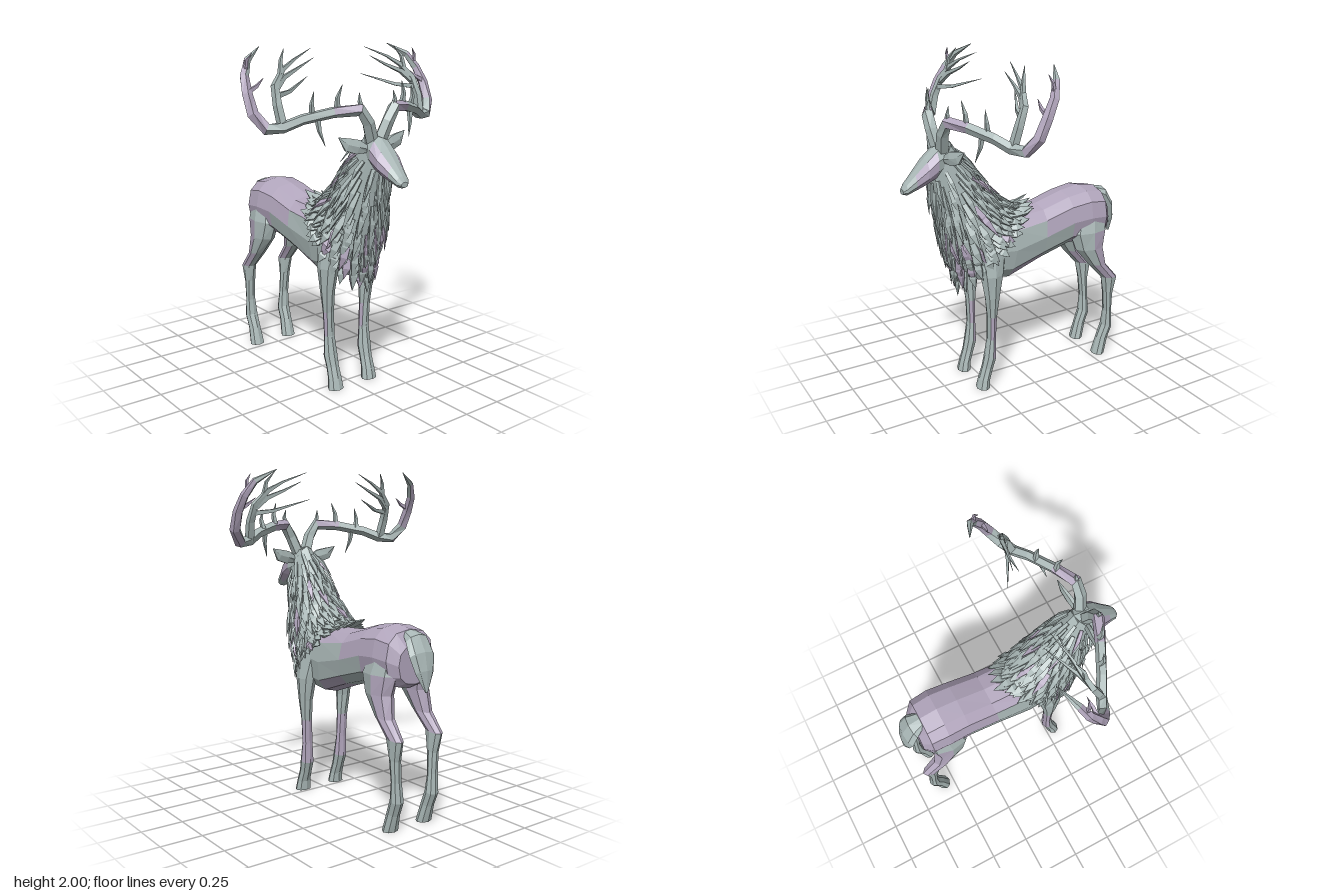
import * as THREE from 'three';

const V = (x, y, z) => new THREE.Vector3(x, y, z);
const SIDES = [1, -1];

// A part collects triangles for two colours: 0 = grey, 1 = mauve
const newPart = () => [[], []];
const grey = () => 0;

function tri(part, colour, a, b, c) {
  part[colour].push(a.x, a.y, a.z, b.x, b.y, b.z, c.x, c.y, c.z);
}

// Join rings of points into a closed skin; paint(centre) picks a colour
function skin(part, rings, paint) {
  const n = rings[0].length;
  const mid = (...p) => p.reduce((s, q) => s.add(q), V(0, 0, 0)).divideScalar(p.length);
  for (let i = 0; i < rings.length - 1; i++) {
    for (let j = 0; j < n; j++) {
      const k = (j + 1) % n;
      const a = rings[i][j], b = rings[i][k], c = rings[i + 1][k], d = rings[i + 1][j];
      const colour = paint(mid(a, b, c, d));
      tri(part, colour, a, b, c);
      tri(part, colour, a, c, d);
    }
  }
  const first = rings[0], last = rings[rings.length - 1];
  const c0 = mid(...first), c1 = mid(...last);
  for (let j = 0; j < n; j++) {
    const k = (j + 1) % n;
    tri(part, paint(c0), c0, first[k], first[j]);
    tri(part, paint(c1), c1, last[j], last[k]);
  }
}

// Point on a section given as [z1, y1, z2, y2, halfWidth, centreX]
function sectionPoint([z1, y1, z2, y2, w, x = 0], angle, side = 1, square = 1) {
  const bend = v => Math.sign(v) * Math.abs(v) ** square;
  const c = bend(Math.cos(angle)) / 2, s = bend(Math.sin(angle));
  return V(x * side + s * w, (y1 + y2) / 2 + c * (y1 - y2), (z1 + z2) / 2 + c * (z1 - z2));
}

// Loft through sections laid out in the side plane
function loft(part, sections, n, paint = grey, side = 1, square = 1) {
  const [a, b] = sections;
  const dz = b[0] + b[2] - a[0] - a[2], dy = b[1] + b[3] - a[1] - a[3];
  const flip = dy * (a[0] - a[2]) - dz * (a[1] - a[3]) < 0;
  const rings = sections.map(s => {
    const ring = [];
    for (let j = 0; j < n; j++) ring.push(sectionPoint(s, (j / n) * Math.PI * 2, side, square));
    return flip ? ring.reverse() : ring;
  });
  skin(part, rings, paint);
}

// Sweep an ellipse along points; radii are [across, alongRef] pairs
function sweep(part, pts, radii, n, ref, paint = grey) {
  const rings = pts.map((p, i) => {
    const t = pts[Math.min(i + 1, pts.length - 1)].clone().sub(pts[Math.max(i - 1, 0)]).normalize();
    const u = t.clone().cross(ref).normalize(), v = t.clone().cross(u);
    const [ru, rv] = radii[i];
    return Array.from({ length: n }, (_, j) => {
      const a = ((j + 0.5) / n) * Math.PI * 2;
      return p.clone().addScaledVector(u, Math.cos(a) * ru).addScaledVector(v, Math.sin(a) * rv);
    });
  });
  skin(part, rings, paint);
}

export function createModel() {
  const group = new THREE.Group();
  const materials = [0xaab8b7, 0xb2a6bd].map((color, i) => {
    const m = new THREE.MeshStandardMaterial({ color, flatShading: true });
    m.name = ['grey coat', 'mauve coat'][i];
    return m;
  });
  function add(part, name) {
    const g = new THREE.BufferGeometry();
    g.setAttribute('position', new THREE.Float32BufferAttribute(part[0].concat(part[1]), 3));
    g.addGroup(0, part[0].length / 3, 0);
    g.addGroup(part[0].length / 3, part[1].length / 3, 1);
    g.computeVertexNormals();
    const mesh = new THREE.Mesh(g, materials);
    mesh.name = name;
    group.add(mesh);
  }
  let seed = 7;
  const rand = () => (seed = (seed * 16807) % 2147483647) / 2147483647;

  // Torso, mauve over the back, rump and belly
  const body = newPart();
  loft(body, [
    [0.34, 0.98, 0.41, 0.75, 0.1], [0.2, 1.08, 0.3, 0.68, 0.155], [0.05, 1.07, 0.1, 0.66, 0.165],
    [-0.15, 1.08, -0.12, 0.74, 0.165], [-0.33, 1.13, -0.33, 0.8, 0.17], [-0.46, 1.15, -0.46, 0.8, 0.178],
    [-0.57, 1.13, -0.57, 0.8, 0.17], [-0.62, 1.05, -0.62, 0.83, 0.12],
  ], 12, c => (c.z < 0.15 && c.y > 0.97) || c.z < -0.38 || (c.y < 0.76 && c.z < 0.1) ? 1 : 0, 1, 0.8);
  add(body, 'body');

  // Neck
  const neckSections = [
    [0.42, 1.54, 0.56, 1.36, 0.07], [0.31, 1.38, 0.52, 1.2, 0.1], [0.21, 1.22, 0.48, 1.02, 0.135],
    [0.09, 1.1, 0.44, 0.85, 0.165], [0, 1.07, 0.38, 0.72, 0.165], [-0.08, 1.1, 0.37, 0.62, 0.17],
  ];
  const neck = newPart();
  loft(neck, neckSections.slice(0, 5), 10);
  add(neck, 'neck');

  // Shaggy mane: flat spikes that follow the neck downwards
  const neckPoint = (t, a) => {
    const i = Math.min(Math.floor(t), 4), f = t - i;
    return sectionPoint(neckSections[i].map((v, k) => v + (neckSections[i + 1][k] - v) * f), a);
  };
  const mane = newPart();
  for (let row = 0; row < 13; row++) {
    const count = 11 + row;
    for (let j = 0; j < count; j++) {
      const a = ((j + (row % 2) / 2 + (rand() - 0.5) * 0.4) / count) * Math.PI * 2;
      const t = 0.15 + row * 0.3 + rand() * 0.2, end = Math.min(t + 0.75 + rand() * 0.45, 5);
      const base = neckPoint(t, a), out = base.clone().sub(neckPoint(t, a + Math.PI)).normalize();
      const tip = neckPoint(end, a).addScaledVector(out, 0.02 + rand() * 0.035);
      const mid = base.clone().lerp(tip, 0.4).addScaledVector(out, 0.012);
      const w = 0.016 + 0.003 * row ** 0.7;
      const chest = base.z > 0.33 && base.y < 1.05;
      const colour = rand() < (chest ? 0.3 : 0.06) ? 1 : 0;
      sweep(mane, [base, mid, tip], [[w * 0.8, 0.008], [w, 0.01], [0.001, 0.001]], 4, out, () => colour);
    }
  }
  add(mane, 'mane');

  // Head with mauve cheeks
  const head = newPart();
  loft(head, [
    [0.42, 1.54, 0.46, 1.37, 0.06], [0.52, 1.52, 0.53, 1.335, 0.085], [0.58, 1.465, 0.59, 1.31, 0.085],
    [0.65, 1.39, 0.65, 1.285, 0.06], [0.7, 1.335, 0.7, 1.268, 0.045], [0.72, 1.305, 0.72, 1.275, 0.025],
  ], 10, c => Math.abs(c.x) > 0.055 && c.z > 0.53 ? 1 : 0);
  add(head, 'head');

  // Tail
  const tail = newPart();
  loft(tail, [
    [-0.56, 1.13, -0.58, 1.08, 0.05], [-0.645, 1.11, -0.61, 1.03, 0.08], [-0.695, 1.02, -0.645, 0.97, 0.09],
    [-0.715, 0.92, -0.67, 0.89, 0.065], [-0.715, 0.8, -0.705, 0.8, 0.01],
  ], 8);
  add(tail, 'tail');

  // Antler tines as [points..., baseRadius, mauve?]
  const tines = [
    [[0.49, 1.59, 0.3], [0.5, 1.7, 0.27], [0.49, 1.8, 0.23], [0.42, 1.88, 0.2], [0.33, 1.93, 0.18], [0.19, 1.985, 0.14], 0.028],
    [[0.49, 1.78, 0.235], [0.42, 1.84, 0.21], [0.32, 1.88, 0.19], [0.2, 1.935, 0.18], 0.02],
    [[0.49, 1.75, 0.25], [0.38, 1.765, 0.21], [0.19, 1.83, 0.11], 0.019],
    [[0.44, 1.86, 0.21], [0.43, 1.93, 0.2], [0.39, 1.99, 0.17], 0.016],
    [[0.23, 1.67, 0.43], [0.235, 1.74, 0.44], [0.21, 1.81, 0.45], 0.019],
    [[0.35, 1.65, 0.37], [0.36, 1.71, 0.38], [0.345, 1.775, 0.38], 0.018],
    [[0.11, 1.67, 0.49], [0.125, 1.72, 0.49], [0.12, 1.765, 0.48], 0.017],
    [[0.33, 1.64, 0.39], [0.325, 1.57, 0.4], [0.3, 1.485, 0.42], 0.018],
    [[0.63, 1.77, 0.18], [0.57, 1.8, 0.18], [0.52, 1.84, 0.17], 0.017, 1],
    [[0.6, 1.87, 0.12], [0.6, 1.93, 0.13], [0.57, 1.97, 0.14], 0.014, 1],
  ];
  for (const s of SIDES) {
    const side = s > 0 ? 'left' : 'right';
    const flip = ([x, y, z]) => V(x * s, y, z);

    // Ear
    const ear = newPart();
    sweep(ear, [[0.055, 1.455, 0.48], [0.12, 1.472, 0.47], [0.18, 1.488, 0.46], [0.235, 1.53, 0.45]].map(flip),
      [[0.02, 0.02], [0.045, 0.02], [0.042, 0.015], [0.002, 0.002]], 6, V(0, 0, 1));
    add(ear, side + ' ear');

    // Main antler beam and its tines
    const antler = newPart();
    sweep(antler, [
      [0.03, 1.5, 0.48], [0.07, 1.6, 0.495], [0.12, 1.675, 0.49], [0.25, 1.665, 0.43], [0.4, 1.63, 0.355],
      [0.49, 1.59, 0.305], [0.57, 1.585, 0.27], [0.625, 1.66, 0.225], [0.63, 1.76, 0.18], [0.615, 1.85, 0.13],
      [0.57, 1.93, 0.09], [0.46, 1.995, 0.035],
    ].map(flip), [0.038, 0.036, 0.036, 0.031, 0.03, 0.032, 0.034, 0.033, 0.03, 0.026, 0.02, 0.002].map(r => [r, r]),
      5, V(0, 0, 1), c => Math.abs(c.x) > 0.59 || (Math.abs(c.x) > 0.14 && Math.abs(c.x) < 0.26 && c.y > 1.66) ? 1 : 0);
    for (const tine of tines) {
      const pts = tine.filter(Array.isArray).map(flip);
      const [r, mauve = 0] = tine.filter(v => !Array.isArray(v));
      sweep(antler, pts, pts.map((_, i) => {
        const k = Math.max(r * (1 - (i / (pts.length - 1)) ** 1.6), 0.001);
        return [k, k];
      }), 4, V(0, 0, 1), () => mauve);
    }
    add(antler, side + ' antler');

    // Front leg
    const front = newPart();
    loft(front, [
      [0.12, 0.9, 0.34, 0.9, 0.06, 0.11], [0.16, 0.74, 0.31, 0.74, 0.055, 0.14], [0.19, 0.6, 0.285, 0.6, 0.042, 0.145],
      [0.208, 0.47, 0.268, 0.47, 0.036, 0.138], [0.215, 0.32, 0.265, 0.32, 0.036, 0.132],
      [0.213, 0.19, 0.285, 0.21, 0.044, 0.13], [0.235, 0.12, 0.3, 0.14, 0.04, 0.128],
      [0.255, 0.06, 0.325, 0.06, 0.045, 0.128], [0.26, 0, 0.34, 0, 0.052, 0.128],
    ], 8, c => c.y > 0.2 && c.y < 0.52 && c.z < 0.25 ? 1 : 0, s);
    add(front, side + ' front leg');

    // Hind leg with thigh and hock
    const hind = newPart();
    loft(hind, [
      [-0.59, 1, -0.38, 1, 0.06, 0.1], [-0.6, 0.88, -0.33, 0.88, 0.07, 0.122], [-0.57, 0.77, -0.37, 0.77, 0.065, 0.13],
      [-0.59, 0.64, -0.46, 0.66, 0.05, 0.14], [-0.68, 0.535, -0.56, 0.55, 0.038, 0.145],
      [-0.652, 0.42, -0.585, 0.44, 0.034, 0.14], [-0.65, 0.3, -0.6, 0.3, 0.034, 0.135],
      [-0.66, 0.18, -0.59, 0.2, 0.042, 0.13], [-0.63, 0.1, -0.56, 0.12, 0.04, 0.128], [-0.605, 0, -0.525, 0, 0.05, 0.126],
    ], 8, c => c.y > 0.53 && c.y < 0.85 && c.z < -0.485 - (0.85 - c.y) * 0.2 ? 1 : 0, s);
    add(hind, side + ' hind leg');
  }
  return group;
}
